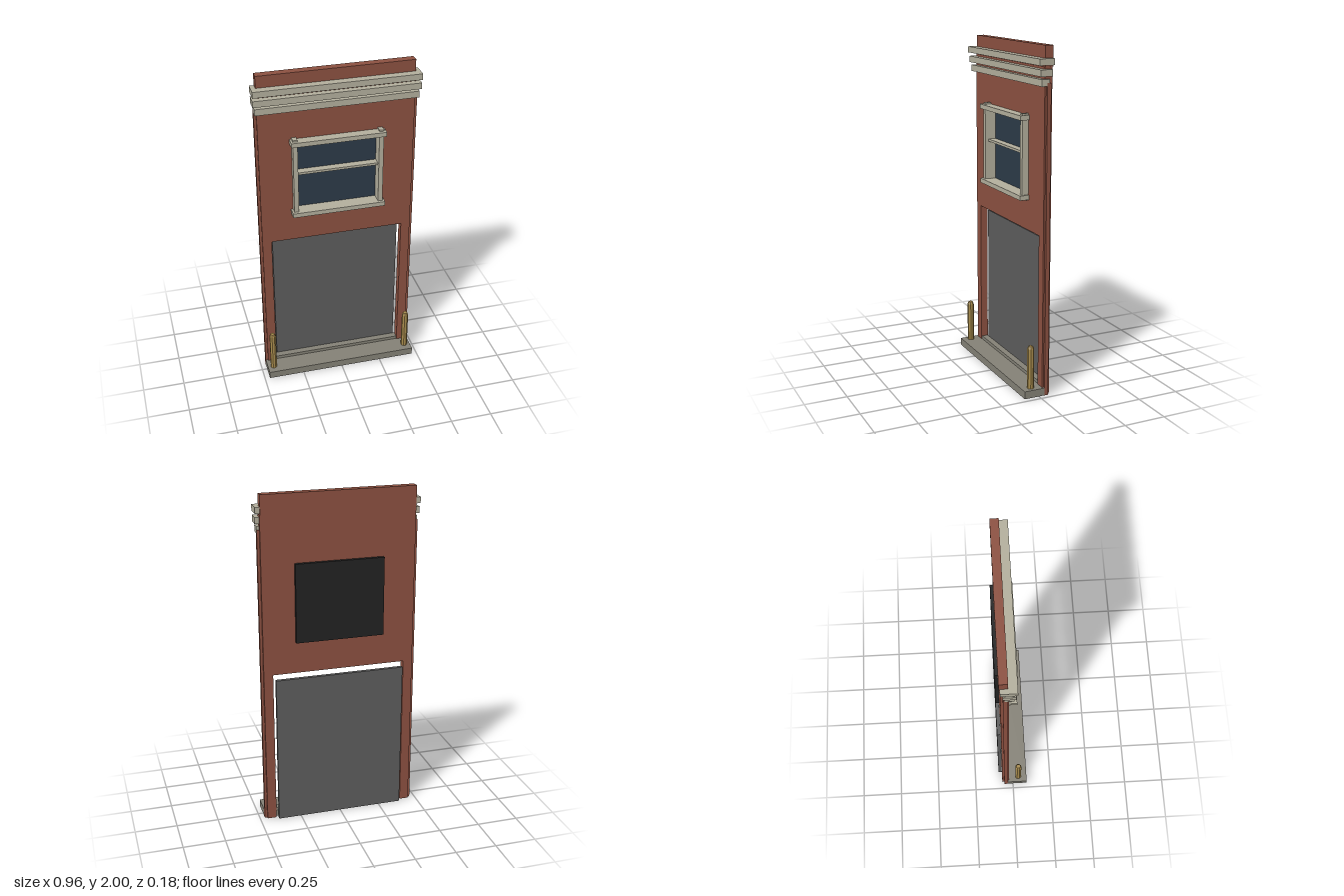
import * as THREE from 'three';

const mat = (name, color) => {
  const m = new THREE.MeshStandardMaterial({ color });
  m.name = name;
  return m;
};

export function createModel() {
  const brick = mat('brick red', 0x8b5040);
  const trim = mat('pale stone', 0xb2ae9c);
  const stone = mat('grey stone', 0x838075);
  const shutter = mat('shutter grey', 0x5c5c5c);
  const glass = mat('dark blue glass', 0x2c3a48);
  const black = mat('black board', 0x222222);
  const brass = mat('brass', 0xa68a4c);

  const model = new THREE.Group();
  model.name = 'shopfront';

  const add = (parent, name, geometry, material) => {
    const mesh = new THREE.Mesh(geometry, material);
    mesh.name = name;
    parent.add(mesh);
    return mesh;
  };
  // Box given by its limits on each axis
  const box = (parent, name, material, x0, x1, y0, y1, z0, z1) => {
    const mesh = add(parent, name, new THREE.BoxGeometry(x1 - x0, y1 - y0, z1 - z0), material);
    mesh.position.set((x0 + x1) / 2, (y0 + y1) / 2, (z0 + z1) / 2);
    return mesh;
  };

  // Wall with a doorway open at the bottom and a window hole
  const outline = [[-0.455, 0], [-0.4, 0], [-0.4, 0.94], [0.4, 0.94], [0.4, 0],
    [0.455, 0], [0.455, 1.885], [-0.455, 1.885]];
  const wallShape = new THREE.Shape(outline.map(([x, y]) => new THREE.Vector2(x, y)));
  const hole = [[-0.255, 1.135], [-0.255, 1.595], [0.255, 1.595], [0.255, 1.135]];
  wallShape.holes.push(new THREE.Path(hole.map(([x, y]) => new THREE.Vector2(x, y))));
  const wall = add(model, 'wall',
    new THREE.ExtrudeGeometry(wallShape, { depth: 0.045, bevelEnabled: false }), brick);
  wall.position.z = -0.071;

  // Parapet and narrow strips along the wall edges
  box(model, 'parapet', brick, -0.453, 0.453, 1.885, 2, -0.078, -0.03);
  for (const s of [-1, 1]) {
    const strip = box(model, 'edgeStrip', brick, -0.0075, 0.0075, 0, 1.8, -0.058, -0.035);
    strip.position.x = s * 0.4625;
  }

  // Three stepped cornice bands: half width, bottom, top, back, front
  const bands = [[0.47, 1.782, 1.82, -0.05, 0], [0.48, 1.836, 1.873, -0.06, 0.01],
    [0.48, 1.895, 1.931, -0.0725, 0.018]];
  for (const [w, y0, y1, z0, z1] of bands) {
    box(model, 'corniceBand', trim, -w, w, y0, y1, z0, z1);
  }

  // Window
  const win = new THREE.Group();
  win.name = 'window';
  model.add(win);
  box(win, 'glass', glass, -0.25, 0.25, 1.137, 1.593, -0.061, -0.055);
  box(win, 'backBoard', black, -0.263, 0.263, 1.13, 1.6, -0.093, -0.0712);
  box(win, 'meetingRail', trim, -0.24, 0.24, 1.378, 1.392, -0.054, -0.008);
  box(win, 'lintel', trim, -0.277, 0.277, 1.576, 1.603, -0.026, 0.031);
  box(win, 'windowSill', trim, -0.277, 0.277, 1.12, 1.147, -0.026, 0.031);
  box(win, 'topLining', trim, -0.253, 0.253, 1.577, 1.594, -0.06, -0.026);
  box(win, 'bottomLining', trim, -0.253, 0.253, 1.136, 1.146, -0.06, -0.026);
  for (const s of [-1, 1]) {
    const jamb = box(win, 'windowJamb', trim, -0.0135, 0.0135, 1.116, 1.612, -0.026, 0.013);
    jamb.position.x = s * 0.2515;
    const lining = box(win, 'sideLining', trim, -0.0075, 0.0075, 1.137, 1.593, -0.06, -0.026);
    lining.position.x = s * 0.2465;
  }

  // Shutter behind the doorway
  box(model, 'shutter', shutter, -0.388, 0.388, 0, 0.91, -0.093, -0.0715);

  // Doorstep and raised threshold
  box(model, 'doorstep', stone, -0.469, 0.469, 0, 0.045, -0.055, 0.091);
  box(model, 'threshold', stone, -0.399, 0.399, 0.045, 0.065, -0.068, -0.03);

  // Octagonal posts with chamfered tops
  const postProfile = [[0, 0], [0.02, 0], [0.02, 0.242], [0.013, 0.257], [0, 0.257]]
    .map(([r, y]) => new THREE.Vector2(r, y));
  const postGeometry = new THREE.LatheGeometry(postProfile, 8, Math.PI / 8).toNonIndexed();
  postGeometry.computeVertexNormals();
  for (const s of [-1, 1]) {
    add(model, 'post', postGeometry, brass).position.set(s * 0.431, 0.045, 0.036);
  }

  return model;
}
